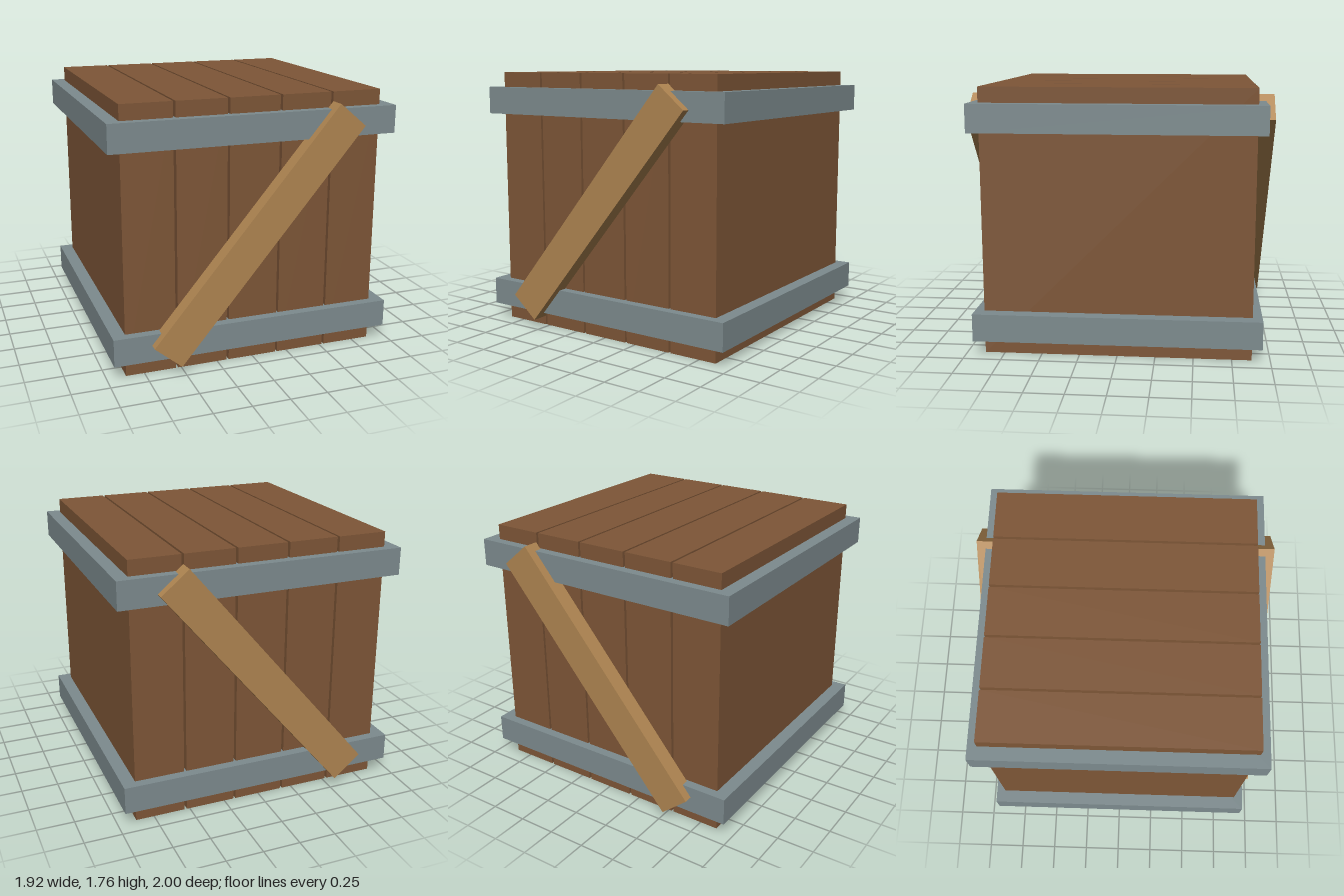
import * as THREE from 'three';

const wood = new THREE.MeshStandardMaterial({ color: 0x7e5637 });
const metal = new THREE.MeshStandardMaterial({ color: 0x7d8b8e });
const paleWood = new THREE.MeshStandardMaterial({ color: 0xaf8551 });

function addBox(parent, name, material, size, position) {
  const mesh = new THREE.Mesh(new THREE.BoxGeometry(...size), material);
  mesh.name = name;
  mesh.position.set(...position);
  parent.add(mesh);
  return mesh;
}

export function createModel() {
  const crate = new THREE.Group();
  crate.name = 'crate';

  // Five upright planks running the full depth, with narrow gaps between them
  const planks = new THREE.Group();
  planks.name = 'planks';
  crate.add(planks);
  for (let i = -2; i <= 2; i++) {
    addBox(planks, `plank${i + 3}`, wood, [0.336, 1.76, 1.76], [i * 0.352, 0.88, 0]);
  }

  // Metal bands around the bottom and top
  addBox(crate, 'lowerBand', metal, [1.92, 0.184, 1.885], [0, 0.197, 0]);
  addBox(crate, 'upperBand', metal, [1.92, 0.184, 1.885], [0, 1.567, 0]);

  // Diagonal braces on the front and back, both rising towards +x
  for (const [name, side] of [['frontBrace', 1], ['backBrace', -1]]) {
    const brace = addBox(crate, name, paleWood, [1.935, 0.236, 0.108], [0, 0.882, side * 0.946]);
    brace.rotation.z = THREE.MathUtils.degToRad(50.1);
  }

  return crate;
}
